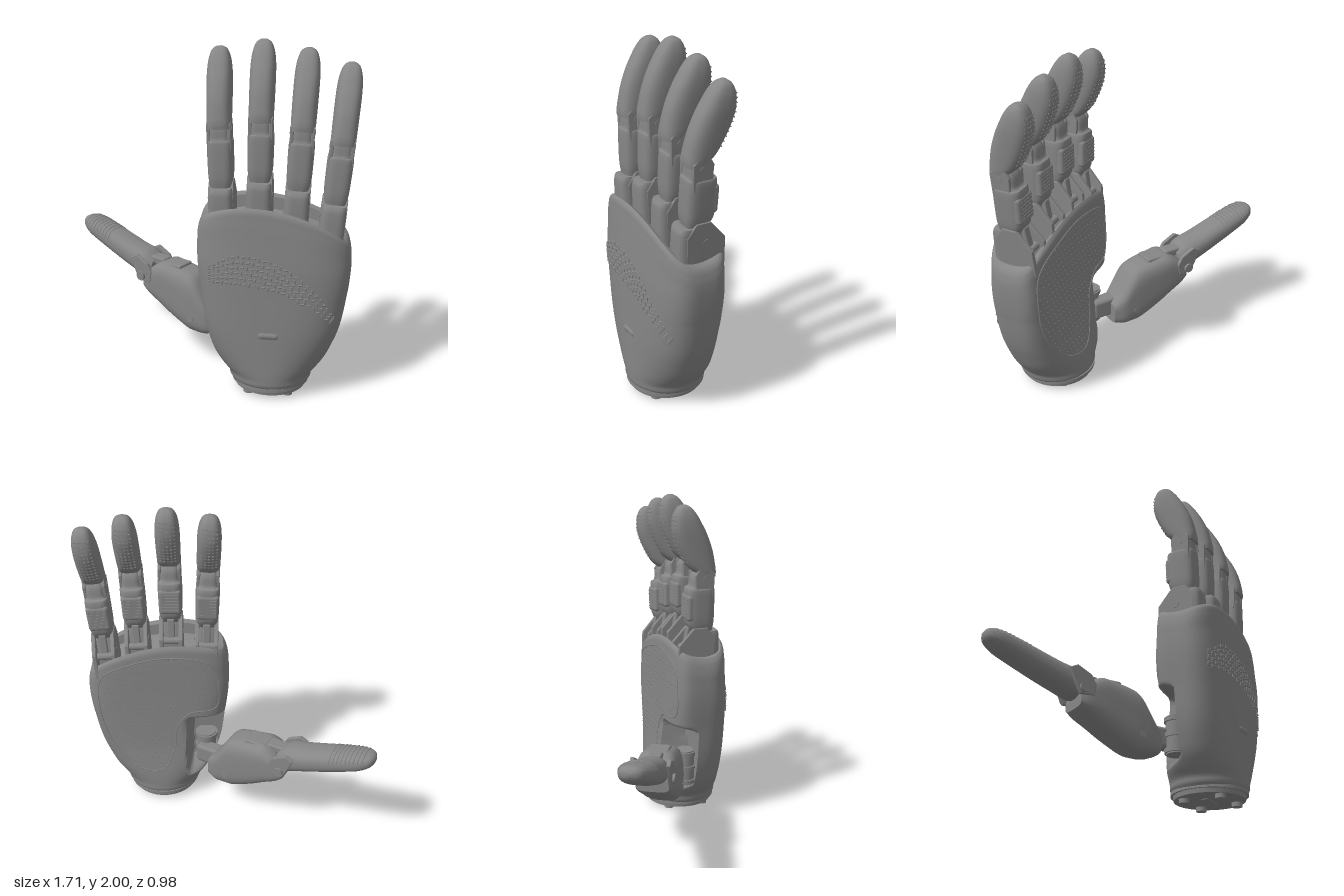
import * as THREE from 'three';
import { mergeGeometries, toCreasedNormals } from 'three/addons/utils/BufferGeometryUtils.js';
import { RoundedBoxGeometry } from 'three/addons/geometries/RoundedBoxGeometry.js';

const material = new THREE.MeshStandardMaterial({ color: 0x868686 });

function add(parent, name, geometry, x = 0, y = 0, z = 0) {
  const mesh = new THREE.Mesh(geometry, material);
  mesh.name = name;
  mesh.position.set(x, y, z);
  parent.add(mesh);
  return mesh;
}

// Smooth interpolation through rows of numbers
function spline(times, rows) {
  const f = new THREE.CubicInterpolant(times, rows.flat(), rows[0].length);
  return t => Array.from(f.evaluate(t));
}

// Horizontal superellipse ring, squareness eF towards +z and eB towards -z
function section(y, xl, xr, zb, zf, eF, eB, n) {
  return Array.from({ length: n }, (_, j) => {
    const a = j / n * Math.PI * 2, c = Math.cos(a), s = Math.sin(a), e = c > 0 ? eF : eB;
    const r = (Math.abs(c) ** e + Math.abs(s) ** e) ** (-1 / e);
    return new THREE.Vector3((xl + xr) / 2 + r * s * (xr - xl) / 2, y, (zb + zf) / 2 + r * c * (zf - zb) / 2);
  });
}

// Closed skin through rings stacked along y
function loft(rings, crease = 0.7) {
  const n = rings[0].length, last = rings.length - 1, pts = rings.flat(), idx = [];
  const centre = ring => ring.reduce((s, p) => s.add(p), new THREE.Vector3()).divideScalar(n);
  const bottom = pts.length, top = bottom + 1;
  pts.push(centre(rings[0]), centre(rings[last]));
  for (let j = 0; j < n; j++) {
    const k = (j + 1) % n;
    for (let i = 0; i < last; i++) {
      const a = i * n + j, b = i * n + k;
      idx.push(a, b, b + n, a, b + n, a + n);
    }
    idx.push(bottom, k, j, top, last * n + j, last * n + k);
  }
  const g = new THREE.BufferGeometry().setFromPoints(pts);
  g.setIndex(idx);
  return toCreasedNormals(g, crease);
}

// Limb segment from rows [y, zBack, zFront, halfWidth]
function limb(rows, e, n = 32, sub = 4) {
  const f = spline(rows.map((_, i) => i), rows), rings = [];
  for (let i = 0; i <= (rows.length - 1) * sub; i++) {
    const [y, zb, zf, w] = f(i / sub);
    rings.push(section(y, -w, w, zb, zf, e, e, n));
  }
  return loft(rings);
}

const pin = (r, len) => new THREE.CylinderGeometry(r, r, len, 20).rotateZ(Math.PI / 2);

// Plate lying in the y-z plane, outline points [z, y]
function cheek(points, thick) {
  const shape = new THREE.Shape(points.map(p => new THREE.Vector2(-p[0], p[1])));
  return new THREE.ExtrudeGeometry(shape, { depth: thick, bevelEnabled: true, bevelSize: 0.005, bevelThickness: 0.004, bevelSegments: 2 })
    .translate(0, 0, -thick / 2).rotateY(Math.PI / 2);
}

// Palm rows: y, left x, right x, back z, front z, front squareness, back squareness
const palmRows = [
  [0.06, 0.18, 0.62, 0.045, 0.46, 2, 2], [0.08, 0.165, 0.635, 0.03, 0.475, 2, 2],
  [0.11, 0.16, 0.64, 0.03, 0.478, 2, 2], [0.16, 0.12, 0.675, 0.032, 0.48, 2.1, 2.1],
  [0.22, 0.08, 0.715, 0.038, 0.48, 2.2, 2.3], [0.3, 0.05, 0.75, 0.05, 0.48, 2.4, 2.6],
  [0.4, 0.025, 0.785, 0.065, 0.48, 2.6, 3], [0.6, 0, 0.82, 0.08, 0.478, 2.9, 4],
  [0.8, -0.02, 0.835, 0.09, 0.475, 3, 5], [0.95, -0.022, 0.838, 0.095, 0.465, 3, 5],
  [1.07, -0.015, 0.832, 0.1, 0.455, 3.2, 5], [1.12, 0, 0.82, 0.107, 0.448, 3.2, 5],
  [1.135, 0.012, 0.808, 0.118, 0.437, 3.2, 5]];
const palmAt = spline(palmRows.map(r => r[0]), palmRows);
const topAt = x => 1.135 - 0.57 * (x - 0.27) ** 2;
const slant = (x, y) => y < 0.6 ? y : 0.6 + (y - 0.6) * (topAt(x) - 0.6) / 0.535;

// Point on the palm skin above (x, y)
function onPalm(x, y, front) {
  const Y = y < 0.6 ? y : 0.6 + (y - 0.6) * 0.535 / (topAt(x) - 0.6);
  const [, xl, xr, zb, zf, eF, eB] = palmAt(Math.min(Y, 1.135)), e = front ? eF : eB;
  const X = Math.min(1, Math.abs((x - (xl + xr) / 2) / ((xr - xl) / 2)));
  const h = (zf - zb) / 2 * (1 - X ** e) ** (1 / e);
  return new THREE.Vector3(x, y, (zb + zf) / 2 + (front ? h : -h));
}

function buildPalm(root) {
  const g = new THREE.Group();
  g.name = 'palm';
  root.add(g);
  const n = 160, rings = [], ss = THREE.MathUtils.smoothstep;
  // the rim slants across the hand and dips at its two ends
  const ring = r => section(...r, n).map(p => p.setY(slant(p.x, p.y)
    - 0.045 * ss(r[0], 0.85, 1.1) * Math.max(0, 1 - ((p.z - 0.28) / 0.16) ** 2)));
  for (let i = 0; i <= 86; i++) rings.push(ring(palmAt(0.06 + 1.075 * i / 86)));
  // pocket for the thumb joint
  for (const p of rings.flat()) {
    const m = (1 - ss(p.x, 0.2, 0.25)) * ss(p.y, 0.17, 0.24) * (1 - ss(p.y, 0.58, 0.63));
    p.z += Math.max(0, 0.24 - p.z) * m;
  }
  // sunken deck behind the rim
  rings.push(ring([1.13, 0.04, 0.785, 0.14, 0.415, 3.2, 5]), ring([1.06, 0.045, 0.78, 0.145, 0.41, 3.2, 5]));
  add(g, 'palmShell', loft(rings, 0.6));

  // soft pad with dots on the gripping side
  const outline = new THREE.CatmullRomCurve3([[0.08, 1], [0.3, 1.06], [0.55, 1.02], [0.75, 0.91], [0.77, 0.65], [0.7, 0.42],
    [0.55, 0.26], [0.4, 0.25], [0.32, 0.4], [0.3, 0.56], [0.22, 0.66], [0.06, 0.69], [0.04, 0.85]]
    .map(p => new THREE.Vector3(p[0], p[1], 0)), true).getPoints(120);
  const seam = new THREE.CatmullRomCurve3(outline.slice(0, -1).map(p => onPalm(p.x, p.y, false)), true);
  add(g, 'padSeam', new THREE.TubeGeometry(seam, 160, 0.004, 6, true));
  const inside = (x, y) => outline.reduce((hit, p, i) => {
    const q = outline[(i + 1) % outline.length];
    return (p.y > y) !== (q.y > y) && x < p.x + (q.x - p.x) * (y - p.y) / (q.y - p.y) ? !hit : hit;
  }, false);
  const dots = [];
  for (let r = 0; r < 24; r++) for (let c = 0; c < 22; c++) {
    const x = 0.05 + c * 0.034 + (r % 2) * 0.017, y = 0.27 + r * 0.034;
    if (!inside(x, y)) continue;
    const p = onPalm(x, y, false);
    dots.push(new THREE.SphereGeometry(0.004, 5, 3).translate(p.x, p.y, p.z));
  }
  add(g, 'padDots', mergeGeometries(dots));

  // vent slots in an arc on the back of the hand
  const arc = list => new THREE.CatmullRomCurve3(list.map(p => new THREE.Vector3(p[0], p[1], 0)));
  const outer = arc([[0.06, 0.79], [0.2, 0.86], [0.35, 0.85], [0.5, 0.79], [0.65, 0.66], [0.75, 0.51]]);
  const inner = arc([[0.06, 0.7], [0.19, 0.71], [0.32, 0.7], [0.46, 0.67], [0.6, 0.59], [0.73, 0.48]]);
  const slots = [];
  for (let i = 0; i <= 26; i++) for (let k = 0; k < 6; k++) {
    if (i > 20 && k % 2) continue;
    const q = outer.getPoint(i / 26).lerp(inner.getPoint(i / 26), k / 5), p = onPalm(q.x, q.y, true);
    slots.push(new THREE.CapsuleGeometry(0.0055, 0.013, 3, 6).rotateZ((i + k) % 2 * Math.PI / 2).translate(p.x, p.y, p.z));
  }
  add(g, 'ventSlots', mergeGeometries(slots));

  // oval button
  const oval = (r, z) => add(g, 'button', new THREE.CapsuleGeometry(r, 0.075, 6, 16).rotateZ(Math.PI / 2), 0.395, 0.405, z);
  oval(0.024, 0.476).scale.z = 0.3;
  oval(0.015, 0.479).scale.z = 0.5;

  // wrist mount with studs
  add(g, 'wristRing', new THREE.CylinderGeometry(0.222, 0.222, 0.02, 48), 0.4, 0.06, 0.25);
  add(g, 'wristPlate', new THREE.CylinderGeometry(0.21, 0.205, 0.03, 48), 0.4, 0.04, 0.25);
  for (const x of [0.285, 0.505]) for (const z of [0.145, 0.37])
    add(g, 'stud', new THREE.CylinderGeometry(0.03, 0.03, 0.03, 20), x, 0.015, z);
  add(g, 'connector', new RoundedBoxGeometry(0.14, 0.01, 0.04, 2, 0.004), 0.4, 0.024, 0.25);
}

function buildFinger(root, name, x, lift, tilt) {
  const g = new THREE.Group();
  g.name = name;
  g.position.set(x, 1.1 + lift, 0);
  g.rotation.z = tilt;
  root.add(g);
  const part = (label, geo, px = 0) => add(g, label, geo, px, -1.1, 0);

  // knuckle: front block and a fork on the gripping side
  part('knuckle', limb([[0.99, 0.2, 0.38, 0.07], [1.12, 0.2, 0.385, 0.069], [1.22, 0.22, 0.385, 0.066], [1.25, 0.23, 0.375, 0.062]], 5));
  for (const s of [-1, 1]) {
    part('knuckleCheek', cheek([[0.12, 1.02], [0.34, 1.02], [0.35, 1.2], [0.3, 1.27], [0.22, 1.27], [0.13, 1.17]], 0.016), s * 0.057);
    part('knuckleScrew', pin(0.018, 0.01).translate(0, 1.16, 0.24), s * 0.066);
    part('middleCheek', cheek([[0.23, 1.46], [0.33, 1.46], [0.335, 1.6], [0.3, 1.63], [0.25, 1.63], [0.225, 1.59]], 0.012), s * 0.056);
    part('middleScrew', pin(0.017, 0.01).translate(0, 1.57, 0.285), s * 0.064);
  }
  part('knucklePin', pin(0.022, 0.11).translate(0, 1.14, 0.175));
  part('drawLink', new RoundedBoxGeometry(0.045, 0.15, 0.03, 2, 0.008).rotateX(0.15).translate(0, 1.2, 0.195));

  // middle segment with ribbed grip
  part('middleSegment', limb([[1.24, 0.22, 0.34, 0.055], [1.3, 0.185, 0.35, 0.067], [1.39, 0.182, 0.352, 0.07],
    [1.5, 0.182, 0.35, 0.07], [1.52, 0.205, 0.343, 0.06], [1.58, 0.215, 0.34, 0.056], [1.62, 0.24, 0.325, 0.05]], 4));
  part('gripPad', new RoundedBoxGeometry(0.132, 0.16, 0.06, 3, 0.02).translate(0, 1.395, 0.205));
  for (let i = 0; i < 6; i++)
    part('gripRib', new THREE.BoxGeometry(0.1, 0.008, 0.004).translate(0, 1.345 + i * 0.02, 0.175));

  // curved fingertip, cut back under its pad to clear the hinge
  const rows = [[1.58, 0.265, 0.358, 0.064], [1.61, 0.222, 0.36, 0.067], [1.65, 0.18, 0.355, 0.068], [1.74, 0.13, 0.335, 0.069],
    [1.83, 0.098, 0.3, 0.069], [1.89, 0.093, 0.268, 0.066], [1.94, 0.1, 0.238, 0.058], [1.98, 0.12, 0.205, 0.042], [1.998, 0.145, 0.175, 0.018]];
  part('fingertip', limb(rows, 2.8));
  const at = spline(rows.map(r => r[0]), rows), dots = [];
  for (let r = 0; r < 12; r++) for (let c = -2; c <= 2; c++) {
    const [y, zb, zf, w] = at(1.67 + r * 0.024), X = c * 0.3;
    const h = (zf - zb) / 2 * (1 - Math.abs(X) ** 2.8) ** (1 / 2.8);
    dots.push(new THREE.BoxGeometry(0.012, 0.006, 0.004).translate(X * w, y, (zb + zf) / 2 - h));
  }
  part('fingertipDots', mergeGeometries(dots));
}

function buildThumb(root) {
  // joint in the palm pocket
  add(root, 'thumbSwivel', new THREE.CylinderGeometry(0.06, 0.06, 0.22, 28), 0.12, 0.34, 0.19);
  for (const y of [0.25, 0.34, 0.43])
    add(root, 'swivelCollar', new THREE.CylinderGeometry(0.07, 0.07, 0.025, 28), 0.12, y, 0.19);
  add(root, 'thumbArm', new RoundedBoxGeometry(0.2, 0.12, 0.09, 3, 0.02), 0.08, 0.33, 0.1).rotation.y = -0.5;

  // thumb frame: local y runs along the thumb, local z is up
  const g = new THREE.Group();
  g.name = 'thumb';
  const d = new THREE.Vector3(-0.87, 0, -0.493).normalize(), up = new THREE.Vector3(0, 1, 0);
  g.quaternion.setFromRotationMatrix(new THREE.Matrix4().makeBasis(d.clone().cross(up), d, up));
  g.position.set(0.05, 0, 0.06);
  root.add(g);
  add(g, 'thumbBase', limb([[-0.03, 0.23, 0.36, 0.075], [0.03, 0.212, 0.43, 0.1], [0.1, 0.21, 0.54, 0.108], [0.16, 0.22, 0.575, 0.112],
    [0.28, 0.28, 0.595, 0.115], [0.36, 0.328, 0.6, 0.115], [0.44, 0.375, 0.55, 0.11], [0.485, 0.41, 0.49, 0.095]], 4, 40));
  const tip = [[0.44, 0.48, 0.59, 0.07], [0.5, 0.465, 0.632, 0.095], [0.6, 0.5, 0.657, 0.095], [0.72, 0.545, 0.695, 0.092],
    [0.85, 0.6, 0.735, 0.09], [0.94, 0.64, 0.758, 0.085], [0.99, 0.67, 0.762, 0.07], [1.015, 0.69, 0.756, 0.05], [1.027, 0.708, 0.742, 0.025]];
  add(g, 'thumbTip', limb(tip, 2.5, 40));
  // ribs over the pad of the tip
  const at = spline(tip.map(r => r[0]), tip);
  for (let i = 0; i < 9; i++) {
    const [y, zb, zf, w] = at(0.78 + i * 0.024);
    const rib = new THREE.CatmullRomCurve3(section(y, -w, w, zb, zf, 2.5, 2.5, 40).filter(p => p.z > zb + (zf - zb) * 0.6)
      .sort((a, b) => a.x - b.x));
    add(g, 'thumbRib', new THREE.TubeGeometry(rib, 20, 0.003, 5));
  }
  // hinge
  for (const s of [-1, 1]) {
    add(g, 'hingeLug', cheek([[0.47, 0.42], [0.53, 0.41], [0.58, 0.44], [0.62, 0.52], [0.6, 0.56], [0.53, 0.53], [0.47, 0.5]], 0.016), s * 0.105);
    add(g, 'hingePin', pin(0.028, 0.022), s * 0.12, 0.48, 0.5);
    add(g, 'baseScrew', pin(0.02, 0.01), s * 0.106, 0.11, 0.305);
  }
  add(g, 'hingeLink', new RoundedBoxGeometry(0.08, 0.16, 0.05, 3, 0.012), 0, 0.44, 0.585);
  add(g, 'hingeCover', new RoundedBoxGeometry(0.12, 0.14, 0.03, 3, 0.01), 0, 0.29, 0.588);
}

export function createModel() {
  const root = new THREE.Group();
  root.name = 'roboticHand';
  buildPalm(root);
  buildFinger(root, 'indexFinger', 0.115, -0.04, 0.036);
  buildFinger(root, 'middleFinger', 0.322, 0, 0);
  buildFinger(root, 'ringFinger', 0.525, -0.04, -0.045);
  buildFinger(root, 'littleFinger', 0.72, -0.11, -0.085);
  buildThumb(root);
  return root;
}
